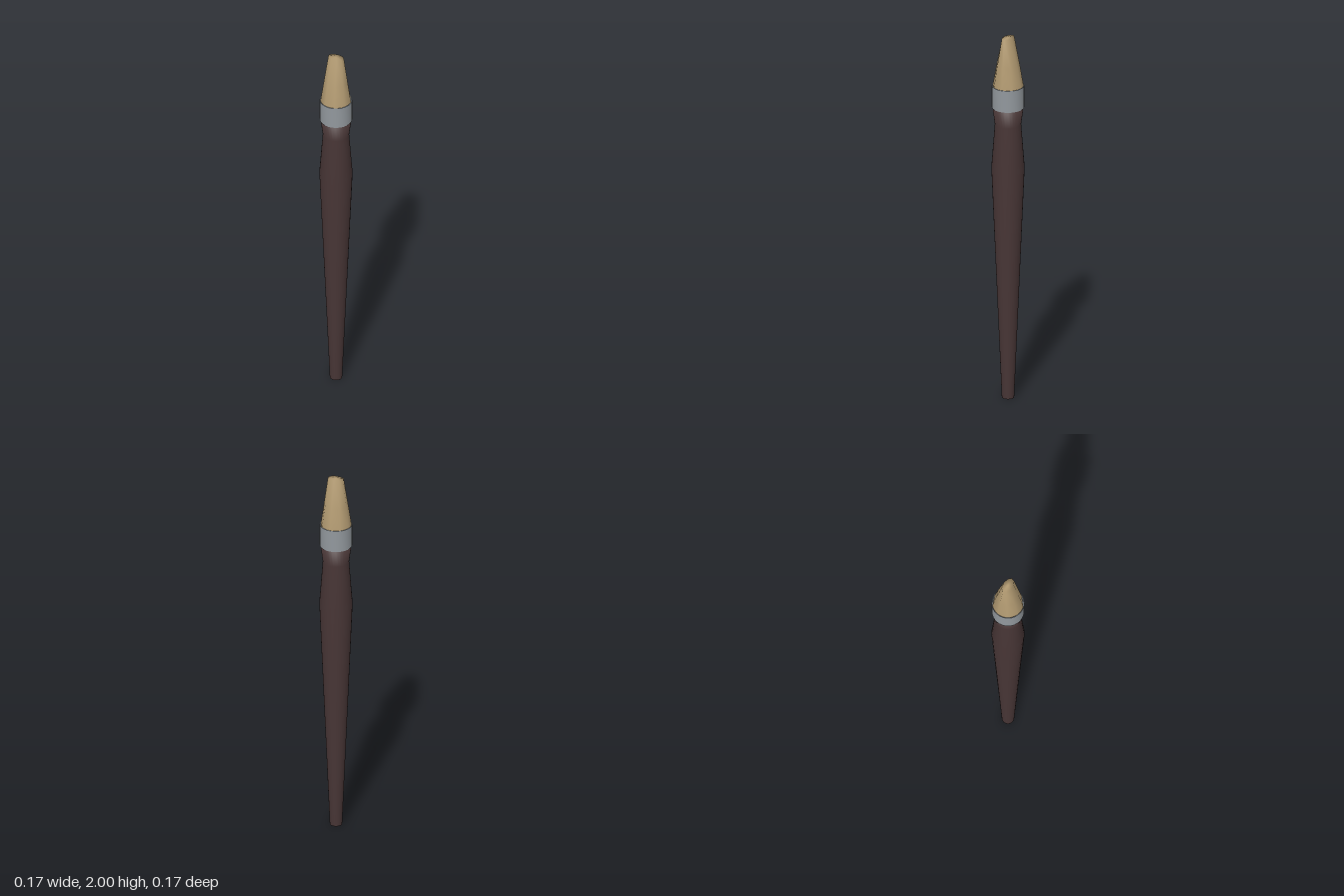
import * as THREE from 'three';
import { mergeVertices, toCreasedNormals } from 'three/addons/utils/BufferGeometryUtils.js';

const material = (name, color) => {
  const m = new THREE.MeshStandardMaterial({ color });
  m.name = name;
  return m;
};

// Turned solid from [radius, height] pairs, listed bottom to top
const turned = (profile, sides, start = 0) =>
  new THREE.LatheGeometry(profile.map(([r, y]) => new THREE.Vector2(r, y)), sides, start);

export function createModel() {
  const group = new THREE.Group();
  group.name = 'paintbrush';
  const add = (name, geometry, mat) => {
    const mesh = new THREE.Mesh(geometry, mat);
    mesh.name = name;
    group.add(mesh);
  };

  // Tapered wooden handle, smoothly shaded over its ends
  const handle = turned([
    [0, 0], [0.032, 0], [0.086, 1.28], [0.068, 1.52], [0.081, 1.62], [0, 1.62],
  ], 32);
  add('handle', handle, material('dark wood', 0x483636));

  // Metal ferrule with a thin rim and a shallow recess for the bristles
  const ferrule = turned([
    [0, 1.615], [0.084, 1.615], [0.084, 1.735], [0.081, 1.735], [0.081, 1.70], [0, 1.70],
  ], 32);
  add('ferrule', toCreasedNormals(ferrule, 0.6), material('grey metal', 0x92989d));

  // Nine-sided bristle tuft, flattened front to back towards the tip
  const tuft = turned([[0.081, 1.70], [0.08, 1.735], [0.064, 1.85], [0.044, 2], [0, 2]], 9, Math.PI);
  const p = tuft.attributes.position;
  for (let i = 0; i < p.count; i++) {
    const t = Math.max(0, (p.getY(i) - 1.735) / 0.265);
    p.setZ(i, p.getZ(i) * (1 - 0.4 * t * t));
  }
  tuft.deleteAttribute('uv');
  tuft.deleteAttribute('normal');
  const bristles = mergeVertices(tuft, 1e-5);
  bristles.computeVertexNormals();
  add('bristles', bristles, material('tan bristle', 0xb49c73));

  return group;
}
